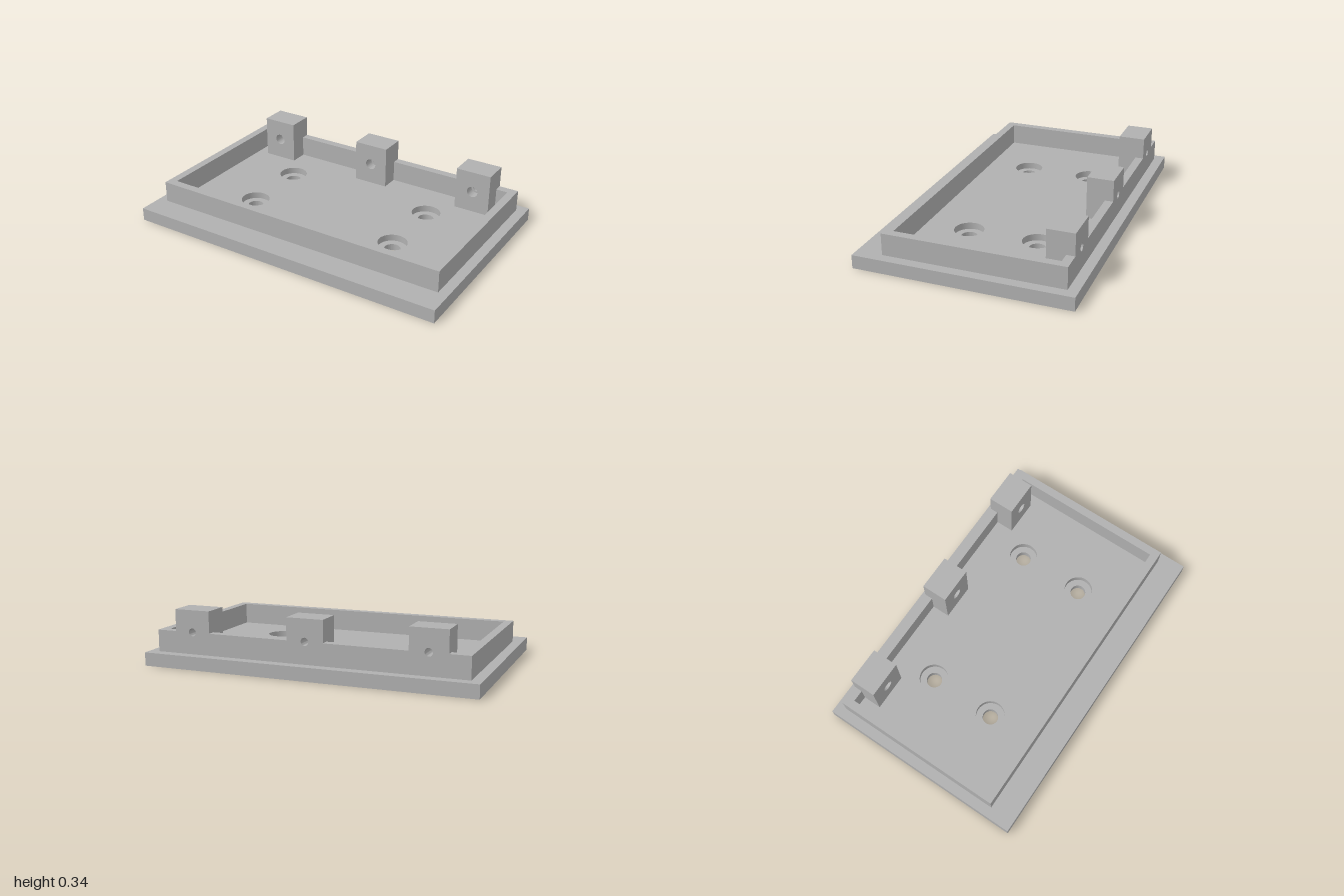
import * as THREE from 'three';
import { toCreasedNormals } from 'three/addons/utils/BufferGeometryUtils.js';

const BASE_TOP = 0.08, RIM_TOP = 0.21, LUG_TOP = 0.34;
const LUG_X = [-0.71, 0, 0.71], LUG_HALF = 0.11;
const BORE_Y = 0.21;

function polygon(points) {
  return new THREE.Shape(points.map(([x, y]) => new THREE.Vector2(x, y)));
}

function rect(x0, y0, x1, y1) {
  return polygon([[x0, y0], [x1, y0], [x1, y1], [x0, y1]]);
}

function drill(shape, x, y, r) {
  shape.holes.push(new THREE.Path().absarc(x, y, r, 0, Math.PI * 2, true));
}

function extrude(shape, depth) {
  const g = new THREE.ExtrudeGeometry(shape, { depth, bevelEnabled: false, curveSegments: 20 });
  return toCreasedNormals(g, 0.6);
}

export function createModel() {
  const group = new THREE.Group();
  group.name = 'mountingTray';
  const grey = new THREE.MeshStandardMaterial({ color: 0xb0b0b0 });
  grey.name = 'grey';

  function add(name, geometry) {
    const mesh = new THREE.Mesh(geometry, grey);
    mesh.name = name;
    group.add(mesh);
  }
  // Plan shapes use (x, -z) and rise from y0 to y1
  const addPlan = (name, shape, y0, y1) =>
    add(name, extrude(shape, y1 - y0).rotateX(-Math.PI / 2).translate(0, y0, 0));
  // Elevation shapes use (x, y) and run from z0 to z1
  const addElevation = (name, shape, z0, z1) =>
    add(name, extrude(shape, z1 - z0).translate(0, 0, z0));

  // Base plate in two layers: narrow screw holes below, counterbores above
  for (const [name, y0, y1, r] of [
    ['baseLower', 0, 0.04, 0.047],
    ['baseUpper', 0.04, BASE_TOP, 0.087],
  ]) {
    const plate = rect(-1, -0.635, 1, 0.635);
    for (const x of [-0.49, 0.49]) for (const z of [-0.25, 0.165]) drill(plate, x, -z, r);
    addPlan(name, plate, y0, y1);
  }

  // Rim around the front and both sides
  addPlan('rim', polygon([
    [-0.94, 0.525], [-0.94, -0.48], [0.94, -0.48], [0.94, 0.525],
    [0.89, 0.525], [0.89, -0.43], [-0.89, -0.43], [-0.89, 0.525],
  ]), BASE_TOP, RIM_TOP);

  // Back wall, rising into the backs of the lugs
  const outline = [[0.94, BASE_TOP], [0.94, RIM_TOP]];
  for (const x of [...LUG_X].reverse()) {
    outline.push([x + LUG_HALF, RIM_TOP], [x + LUG_HALF, LUG_TOP],
      [x - LUG_HALF, LUG_TOP], [x - LUG_HALF, RIM_TOP]);
  }
  outline.push([-0.94, RIM_TOP], [-0.94, BASE_TOP]);
  const backWall = polygon(outline);
  for (const x of LUG_X) drill(backWall, x, BORE_Y, 0.023);
  addElevation('backWall', backWall, -0.575, -0.525);

  // Lugs: narrow bore at the back, wider bore at the front
  for (const x of LUG_X) {
    for (const [name, z0, z1, r] of [
      ['lugRear', -0.525, -0.48, 0.023],
      ['lugFront', -0.48, -0.415, 0.034],
    ]) {
      const lug = rect(x - LUG_HALF, BASE_TOP, x + LUG_HALF, LUG_TOP);
      drill(lug, x, BORE_Y, r);
      addElevation(name, lug, z0, z1);
    }
  }
  return group;
}
